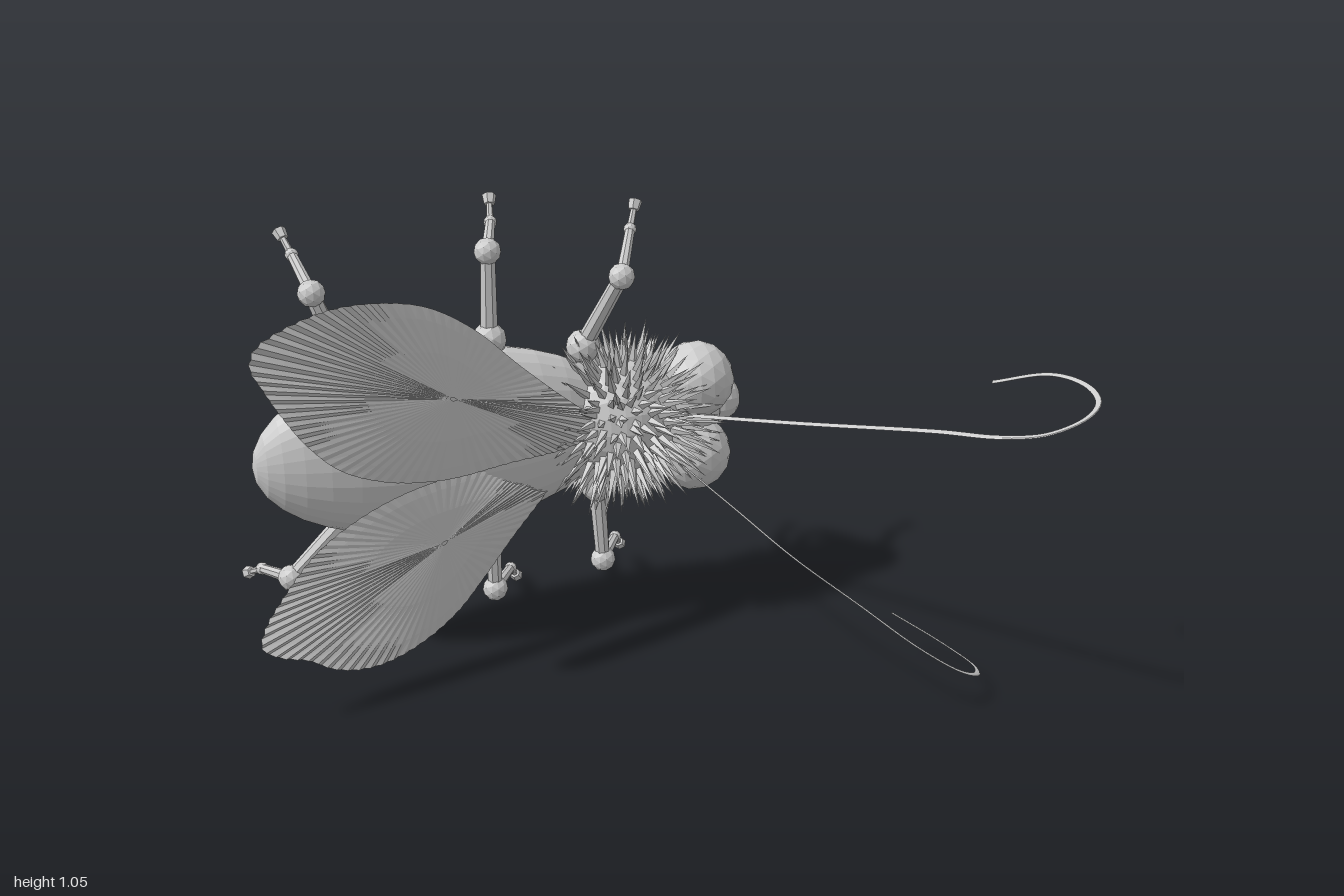
import * as THREE from 'three';
import { mergeGeometries } from 'three/addons/utils/BufferGeometryUtils.js';

const grey = new THREE.MeshStandardMaterial({ color: 0xcccccc, flatShading: true, side: THREE.DoubleSide });
grey.name = 'grey';
const V = (p) => new THREE.Vector3(...p);
const UP = new THREE.Vector3(0, 1, 0);
const YAW = Math.atan2(-0.58, -0.81); // local x runs from head to tail

function add(parent, name, geometry) {
  const mesh = new THREE.Mesh(geometry, grey);
  mesh.name = name;
  parent.add(mesh);
  return mesh;
}

function ball(parent, name, p, r, detail = 1) {
  add(parent, name, new THREE.IcosahedronGeometry(r, detail)).position.set(...p);
}

// Ellipsoid whose poles lie along the body axis
function ellipsoid(parent, name, p, radii, ws, hs) {
  const mesh = add(parent, name, new THREE.SphereGeometry(1, ws, hs).rotateZ(Math.PI / 2));
  mesh.position.set(...p);
  mesh.scale.set(...radii);
  mesh.rotation.y = YAW;
}

// Tapered rod between two points
function rod(parent, name, a, b, ra, rb, sides = 8) {
  const A = V(a), B = V(b), dir = B.clone().sub(A);
  const mesh = add(parent, name, new THREE.CylinderGeometry(rb, ra, dir.length(), sides));
  mesh.position.copy(A).add(B).multiplyScalar(0.5);
  mesh.quaternion.setFromUnitVectors(UP, dir.normalize());
}

function leg(parent, name, hip, knee, ankle, foot) {
  const g = new THREE.Group();
  g.name = name;
  parent.add(g);
  ball(g, 'hip', hip, 0.042);
  rod(g, 'thigh', hip, knee, 0.022, 0.018);
  ball(g, 'knee', knee, 0.032);
  rod(g, 'shin', knee, ankle, 0.015, 0.012);
  ball(g, 'ankle', ankle, 0.016);
  rod(g, 'tarsus', ankle, foot, 0.009, 0.007, 6);
  const f = V(foot), d = f.clone().sub(V(ankle)).normalize().multiplyScalar(0.012);
  rod(g, 'foot', f.clone().sub(d).toArray(), f.clone().add(d).toArray(), 0.013, 0.017, 6);
}

// Thin lens with a finely pleated rim, laid in a slanted upright plane.
// Outline and centre are [z, y] pairs; x follows from z.
function wing(parent, name, outline, centre, tipX, tipZ) {
  const curve = new THREE.CatmullRomCurve3(outline.map(([z, y]) => new THREE.Vector3(z, y, 0)), true);
  const N = 144, rim = curve.getSpacedPoints(N), mid = new THREE.Vector3(...centre, 0);
  const normal = new THREE.Vector3(1, 0, 0.815).normalize();
  const rings = [0.02, 0.5, 0.85, 1], pos = [], idx = [];
  for (const side of [1, -1]) {
    const base = pos.length / 3;
    for (const r of rings) {
      for (let i = 0; i < N; i++) {
        const p = mid.clone().lerp(rim[i], r);
        // pleats deepen with distance from the centre
        const pleat = (i % 2 ? 1 : -1) * 28e-3 * mid.distanceToSquared(rim[i]) * r * r;
        const off = side * 0.017 * (1 - r * r) + pleat;
        const q = new THREE.Vector3(tipX + (tipZ - p.x) * 0.815, p.y, p.x).addScaledVector(normal, off);
        pos.push(q.x, q.y, q.z);
      }
    }
    for (let k = 0; k < rings.length - 1; k++) {
      for (let i = 0; i < N; i++) {
        const j = (i + 1) % N;
        const a = base + k * N + i, b = base + k * N + j, c = a + N, d = b + N;
        if (side > 0) idx.push(a, c, b, b, c, d);
        else idx.push(a, b, c, b, d, c);
      }
    }
  }
  const g = new THREE.BufferGeometry();
  g.setAttribute('position', new THREE.Float32BufferAttribute(pos, 3));
  g.setIndex(idx);
  g.computeVertexNormals();
  add(parent, name, g);
}

// Spiky ruff, open underneath
function ruff(parent, p, radii) {
  const cones = [];
  let seed = 7;
  const rand = () => (seed = (seed * 16807) % 2147483647) / 2147483647;
  const jitter = (s) => new THREE.Vector3(rand() - 0.5, rand() - 0.5, rand() - 0.5).multiplyScalar(s);
  for (let i = 0; i < 460; i++) {
    const y = 1 - (2 * (i + 0.5)) / 460, s = Math.sqrt(1 - y * y), a = i * 2.39996;
    const dir = new THREE.Vector3(s * Math.cos(a), y, s * Math.sin(a)).add(jitter(0.12)).normalize();
    if (dir.z > 0.3 && (dir.z > 0.75 || i % 2)) continue;
    const len = 0.1 * (0.7 + 0.5 * rand());
    const at = dir.clone().multiply(V(radii));
    const q = new THREE.Quaternion().setFromUnitVectors(UP, dir.add(jitter(0.25)).normalize());
    cones.push(new THREE.ConeGeometry(0.012, len, 4).translate(0, len * 0.42, 0).applyQuaternion(q).translate(at.x, at.y, at.z));
  }
  const mesh = add(parent, 'ruffSpikes', mergeGeometries(cones));
  mesh.position.set(...p);
  mesh.rotation.y = YAW;
}

// Tube whose cross-section is reshaped by a rule of (offset from the path, t)
function tube(parent, name, pts, r, segments, sides, rule) {
  const curve = new THREE.CatmullRomCurve3(pts.map(V));
  const g = new THREE.TubeGeometry(curve, segments, r, sides);
  const pos = g.attributes.position, v = new THREE.Vector3();
  for (let i = 0; i < pos.count; i++) {
    const t = Math.floor(i / (sides + 1)) / segments, c = curve.getPointAt(t);
    v.fromBufferAttribute(pos, i).sub(c);
    rule(v, t);
    v.add(c);
    pos.setXYZ(i, v.x, v.y, v.z);
  }
  g.computeVertexNormals();
  add(parent, name, g);
}

// Antenna: a strand flattened into the plane of its own curl
function antenna(parent, name, pts) {
  const a = V(pts[0]);
  const n = V(pts[4]).sub(a).cross(V(pts[8]).sub(a)).normalize();
  tube(parent, name, pts, 0.007, 90, 6, (v) => v.addScaledVector(n, -0.75 * v.dot(n)));
}

export function createModel() {
  const model = new THREE.Group();
  model.name = 'insect';

  // Body
  ellipsoid(model, 'abdomen', [-0.484, 0.518, -0.009], [0.452, 0.224, 0.126], 28, 18);
  ellipsoid(model, 'thorax', [-0.11, 0.515, -0.255], [0.17, 0.15, 0.125], 20, 14);
  ruff(model, [-0.11, 0.515, -0.255], [0.165, 0.145, 0.12]);

  // Head
  ellipsoid(model, 'head', [-0.005, 0.505, -0.358], [0.12, 0.11, 0.095], 16, 12);
  ball(model, 'leftEye', [0.05, 0.592, -0.351], 0.095, 2);
  ball(model, 'rightEye', [0.045, 0.402, -0.348], 0.095, 2);
  ellipsoid(model, 'snout', [0.083, 0.512, -0.444], [0.062, 0.062, 0.062], 14, 10);
  tube(model, 'proboscis', [[0.09, 0.515, -0.465], [0.035, 0.518, -0.505], [-0.02, 0.52, -0.522],
    [-0.058, 0.52, -0.495], [-0.07, 0.52, -0.43]], 0.016, 20, 8, (v, t) => v.multiplyScalar(2 - 1.4 * t));

  // Antennae
  antenna(model, 'leftAntenna', [[0.0, 0.53, -0.26], [0.35, 0.62, -0.04], [0.67, 0.7, 0.145], [0.8, 0.722, 0.205],
    [0.89, 0.74, 0.217], [0.965, 0.765, 0.18], [0.993, 0.78, 0.11], [0.965, 0.79, 0.035], [0.89, 0.788, -0.02],
    [0.77, 0.757, -0.03]]);
  antenna(model, 'rightAntenna', [[0.0, 0.44, -0.24], [0.2, 0.36, -0.11], [0.35, 0.295, -0.02], [0.52, 0.23, 0.065],
    [0.65, 0.165, 0.104], [0.745, 0.1, 0.075], [0.787, 0.055, 0.0], [0.775, 0.04, -0.07], [0.69, 0.065, -0.122],
    [0.575, 0.125, -0.125]]);

  // Wings
  wing(model, 'leftWing', [[-0.17, 0.53], [-0.1, 0.59], [0.02, 0.72], [0.13, 0.85], [0.22, 0.92], [0.31, 0.95],
    [0.395, 0.957], [0.48, 0.937], [0.531, 0.908], [0.543, 0.87], [0.525, 0.82], [0.495, 0.75], [0.45, 0.665],
    [0.39, 0.59], [0.3, 0.535], [0.19, 0.505], [0.06, 0.502], [-0.08, 0.5]], [0.177, 0.7], -0.695, 0.54);
  wing(model, 'rightWing', [[-0.16, 0.48], [-0.04, 0.49], [0.1, 0.485], [0.22, 0.473], [0.31, 0.444], [0.395, 0.392],
    [0.467, 0.305], [0.502, 0.247], [0.51, 0.203], [0.48, 0.168], [0.424, 0.136], [0.38, 0.096], [0.322, 0.07],
    [0.264, 0.067], [0.19, 0.09], [0.12, 0.136], [0.06, 0.203], [-0.01, 0.29], [-0.08, 0.37]],
  [0.148, 0.333], -0.74, 0.51);

  // Legs: hip, knee, ankle, foot
  leg(model, 'leftHindLeg', [-0.67, 0.695, 0.085], [-0.727, 0.905, 0.14], [-0.82, 0.955, 0.022], [-0.855, 0.993, -0.005]);
  leg(model, 'leftMiddleLeg', [-0.385, 0.752, -0.073], [-0.383, 0.964, -0.076], [-0.425, 0.988, -0.235], [-0.438, 1.032, -0.273]);
  leg(model, 'leftFrontLeg', [-0.2, 0.7, -0.225], [-0.097, 0.888, -0.196], [-0.11, 0.963, -0.336], [-0.107, 1.013, -0.371]);
  leg(model, 'rightHindLeg', [-0.69, 0.35, 0.09], [-0.823, 0.198, 0.155], [-0.935, 0.172, 0.075], [-0.984, 0.142, 0.042]);
  leg(model, 'rightMiddleLeg', [-0.405, 0.295, -0.105], [-0.405, 0.084, -0.119], [-0.415, 0.062, -0.28], [-0.417, 0.022, -0.328]);
  leg(model, 'rightFrontLeg', [-0.175, 0.33, -0.25], [-0.166, 0.122, -0.267], [-0.175, 0.108, -0.43], [-0.176, 0.07, -0.478]);

  return model;
}
